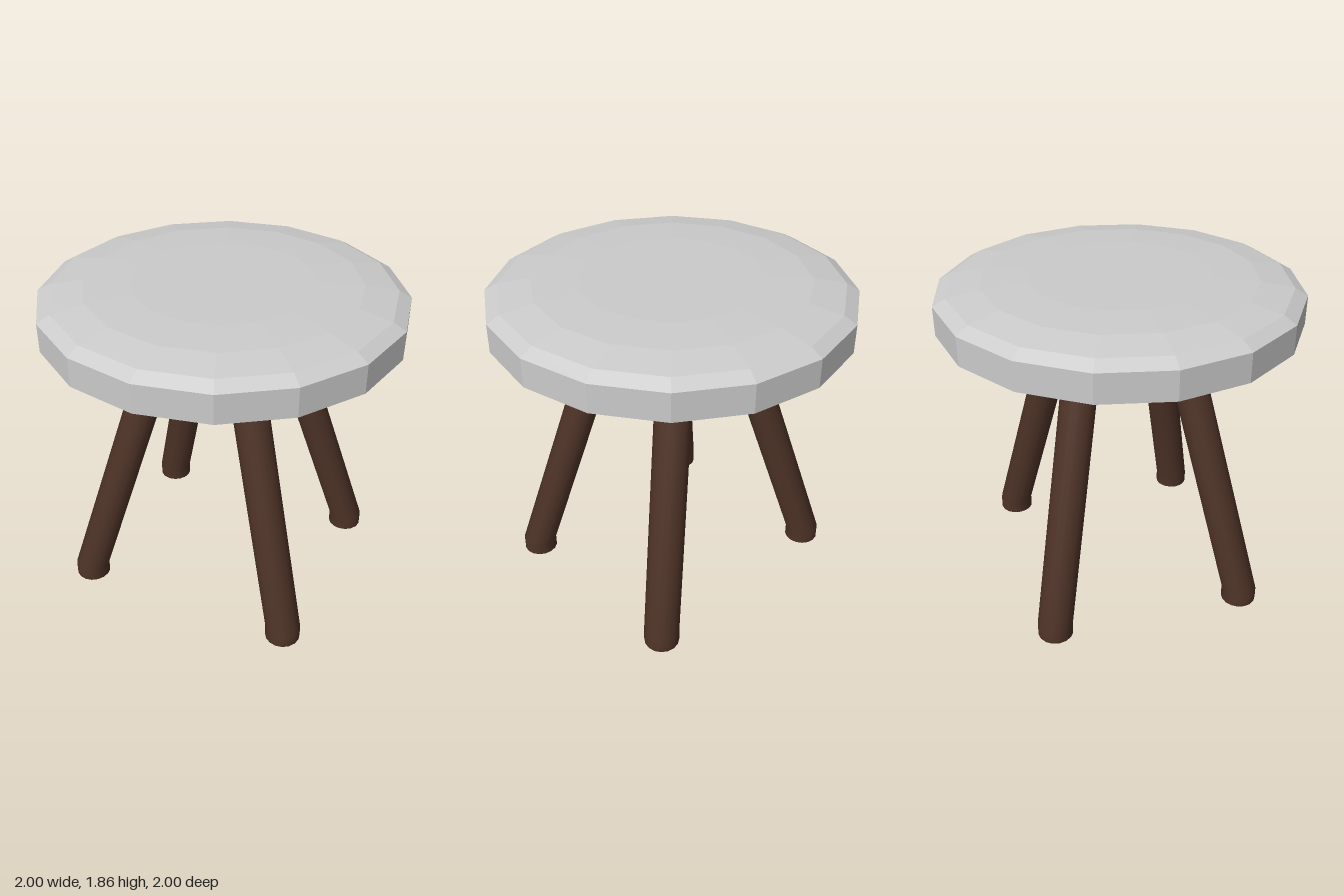
import * as THREE from 'three';
import { toCreasedNormals } from 'three/addons/utils/BufferGeometryUtils.js';

const SEAT_SIDES = 16, LEG_SIDES = 16;

// Faceted ring surface from [radius, y] pairs, listed bottom to top
function facetedLathe(name, profile, material) {
  const points = profile.map(([r, y]) => new THREE.Vector2(r, y));
  const mesh = new THREE.Mesh(new THREE.LatheGeometry(points, SEAT_SIDES), material);
  mesh.name = name;
  return mesh;
}

// Straight foot, then a sheared shaft with level ends leaning in to the seat
function legGeometry(foot, top) {
  const bendY = 0.07, topY = 1.57;
  const geometry = new THREE.CylinderGeometry(0.1, 0.1, 1, LEG_SIDES, 2);
  const p = geometry.attributes.position;
  for (let i = 0; i < p.count; i++) {
    const level = Math.round((p.getY(i) + 0.5) * 2); // 0 floor, 1 bend, 2 top
    const end = level === 2 ? top : foot;
    p.setXYZ(i, p.getX(i) + end[0], [0, bendY, topY][level], p.getZ(i) + end[1]);
  }
  return toCreasedNormals(geometry, Math.PI / 5);
}

export function createModel() {
  const stool = new THREE.Group();
  stool.name = 'stool';
  const cushionGrey = new THREE.MeshStandardMaterial({ color: 0xcccccc, flatShading: true });
  const undersideWood = new THREE.MeshStandardMaterial({ color: 0x4e3327, flatShading: true });
  const legWood = new THREE.MeshStandardMaterial({ color: 0x4e3327 });

  // Cushion: bevelled rim and a gently domed top
  stool.add(facetedLathe('cushion', [
    [0.93, 1.585], [1, 1.62], [1, 1.78], [0.93, 1.82], [0.75, 1.85], [0.5, 1.86], [0, 1.862],
  ], cushionGrey));

  // Wooden underside, slightly bowed
  stool.add(facetedLathe('underside', [
    [0, 1.543], [0.5, 1.545], [0.75, 1.555], [0.93, 1.585],
  ], undersideWood));

  // Four splayed legs
  for (const [sx, sz, name] of [
    [1, 1, 'frontLeftLeg'], [-1, 1, 'frontRightLeg'],
    [1, -1, 'backLeftLeg'], [-1, -1, 'backRightLeg'],
  ]) {
    const leg = new THREE.Mesh(
      legGeometry([sx * 0.633, sz * 0.555], [sx * 0.233, sz * 0.262]), legWood);
    leg.name = name;
    stool.add(leg);
  }
  return stool;
}
